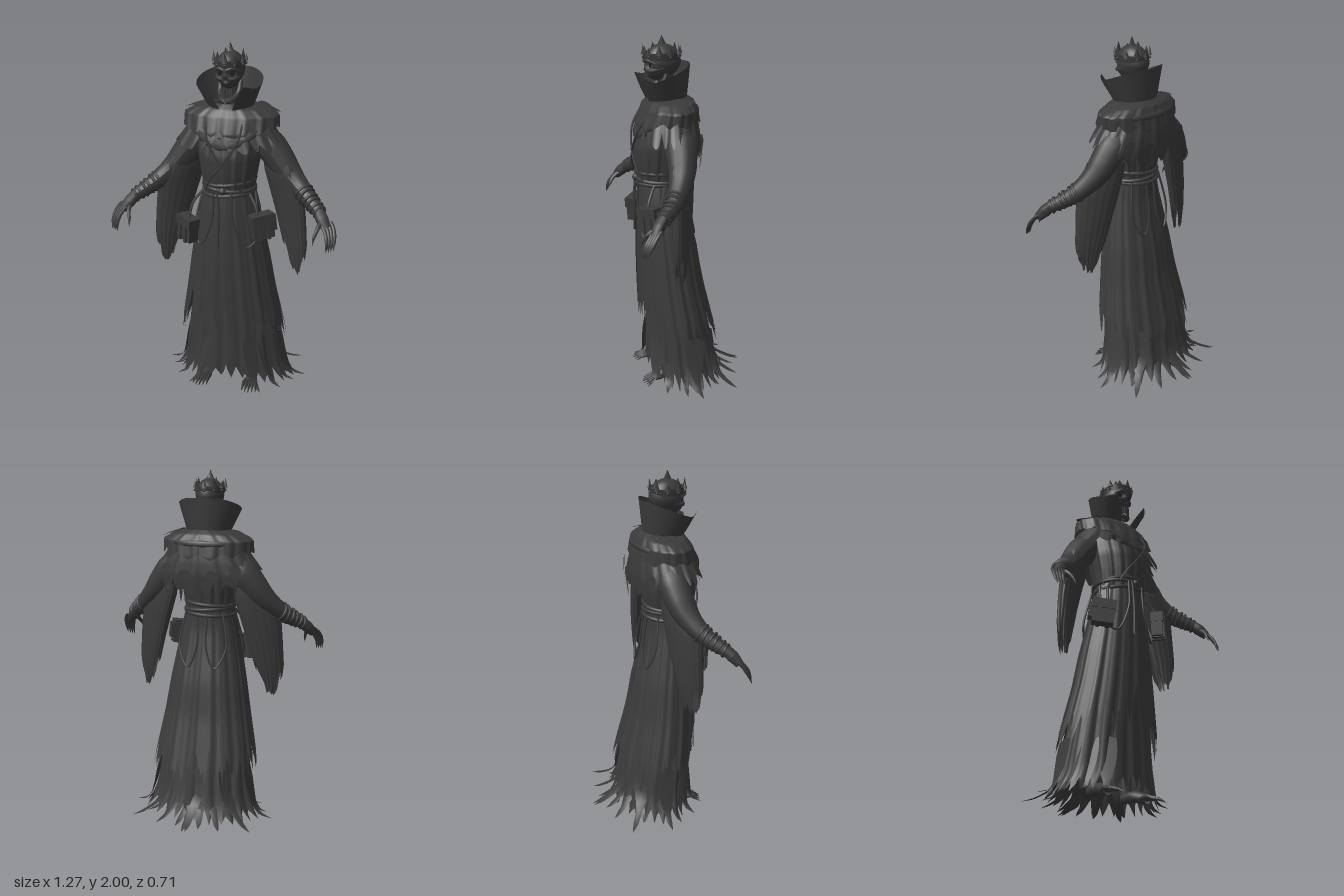
import * as THREE from 'three';

const V = (x, y, z) => new THREE.Vector3(x, y, z);
const lerp = THREE.MathUtils.lerp;
const curve = (pts, closed = false) => new THREE.CatmullRomCurve3(pts.map(p => V(...p)), closed);

export function createModel() {
  const root = new THREE.Group();
  const cloth = new THREE.MeshStandardMaterial({ color: 0x3a3a3a, side: THREE.DoubleSide });
  cloth.name = 'charcoal';
  const hollow = new THREE.MeshStandardMaterial({ color: 0x1c1c1c, side: THREE.DoubleSide });
  hollow.name = 'hollowBlack';
  let seed = 7;
  const rand = () => (seed = (seed * 16807) % 2147483647) / 2147483647;

  const add = (name, geo, mat = cloth) => {
    const m = new THREE.Mesh(geo, mat);
    m.name = name;
    root.add(m);
    return m;
  };

  // Triangulated grid of points: f(u, v) with u across and v down
  const grid = (nu, nv, f) => {
    const pos = [], idx = [];
    for (let i = 0; i <= nv; i++) for (let j = 0; j <= nu; j++) pos.push(...f(j / nu, i / nv, j));
    for (let i = 0; i < nv; i++) for (let j = 0; j < nu; j++) {
      const a = i * (nu + 1) + j, b = a + nu + 1;
      idx.push(a, b, a + 1, b, b + 1, a + 1);
    }
    const g = new THREE.BufferGeometry();
    g.setAttribute('position', new THREE.Float32BufferAttribute(pos, 3));
    g.setIndex(idx);
    g.computeVertexNormals();
    return g;
  };

  // Pleated garment; rows are [y, half width, front z, back z, centre x], top to bottom
  const garment = (name, rows, o) => {
    const { n = 120, a0 = -Math.PI, a1 = Math.PI, hem, jag = 0, tooth = 5, fold = 0, grow = 0, shear = 0 } = o;
    const depths = Array.from({ length: Math.ceil(n / tooth) + 1 }, () => 0.25 + 0.75 * rand());
    const row = y => {
      let k = 0;
      while (k < rows.length - 2 && y < rows[k + 1][0]) k++;
      const t = THREE.MathUtils.clamp((rows[k][0] - y) / (rows[k][0] - rows[k + 1][0]), 0, 1);
      return rows[k].map((a, i) => lerp(a, rows[k + 1][i], t));
    };
    return add(name, grid(n, 22, (u, v, j) => {
      const a = lerp(a0, a1, u), jj = j % n;
      const t = Math.abs(((jj / tooth) % 1) * 2 - 1);
      const bottom = hem(a) + jag * t * depths[Math.floor(jj / tooth)];
      const y = Math.max(0.004, lerp(rows[0][0], bottom, v));
      const [, rx, zf, zb, cx = 0] = row(y);
      const f = grow + fold * (0.25 + 0.75 * v) * (Math.sin(17 * a) + 0.5 * Math.sin(31 * a + 1));
      const x = (rx + f) * Math.sin(a);
      return [cx + x, y, (zf + zb) / 2 + ((zf - zb) / 2 + f) * Math.cos(a) + shear * x];
    }));
  };

  // Round limb whose radius follows a list
  const limb = (name, pts, radii, sides = 10, seg = 16) => {
    const c = curve(pts), g = new THREE.TubeGeometry(c, seg, 1, sides), p = g.attributes.position;
    for (let i = 0; i <= seg; i++) {
      const o = c.getPointAt(i / seg), t = (i / seg) * (radii.length - 1);
      const k = Math.min(Math.floor(t), radii.length - 2), r = lerp(radii[k], radii[k + 1], t - k);
      for (let j = 0; j <= sides; j++) {
        const q = i * (sides + 1) + j, w = V().fromBufferAttribute(p, q).sub(o).multiplyScalar(r).add(o);
        p.setXYZ(q, w.x, w.y, w.z);
      }
    }
    g.computeVertexNormals();
    return add(name, g);
  };
  const rope = (name, pts, r = 0.006, closed = false) =>
    add(name, new THREE.TubeGeometry(curve(pts, closed), 48, r, 6, closed));

  // Torn ribbon tapering to a point, with a raised ridge
  const shred = (name, pts, width, side) => {
    const c = curve(pts), s = V(...side).normalize();
    return add(name, grid(2, 8, (u, v) => {
      const p = c.getPoint(v), w = width * (1 - v) * (0.8 + 0.2 * Math.sin(v * 9));
      p.addScaledVector(s, (u - 0.5) * w);
      if (u === 0.5) p.y += 0.012 * (1 - v);
      return p.toArray();
    }));
  };

  // Under skirt reaching the ground, shorter over the feet
  garment('underSkirt', [[1.1, .14, .2, .02], [.6, .22, .215, -.07], [.3, .265, .215, -.14],
    [.12, .29, .215, -.175], [.04, .325, .215, -.2], [0, .36, .23, -.23]],
  { hem: a => .004 + .05 * Math.max(0, Math.cos(a)) ** 4, jag: .1, tooth: 4, fold: .008 });
  // Over robe with ragged hem
  const robe = [[1.24, .13, .24, 0], [1.1, .16, .255, -.005], [.95, .19, .262, -.035], [.8, .218, .266, -.07],
    [.6, .25, .262, -.1], [.4, .288, .255, -.15], [.23, .318, .25, -.195]];
  garment('overRobe', robe, { hem: a => .28 + .1 * Math.max(0, Math.cos(a)), jag: .26, tooth: 6, fold: .006 });
  for (const s of [-1, 1]) for (const [a, w, y] of [[.48, .2, .27], [1.3, .3, .28], [2.1, .25, .26], [2.75, .25, .23]])
    garment('robePanel', robe, { n: 24, a0: s * a - w, a1: s * a + w, hem: () => y, jag: .3, tooth: 8, fold: .004, grow: .007 });
  // Torn hem points spreading over the ground
  for (const s of [-1, 1]) for (const [x, z] of [[.43, -.02], [.36, -.24], [.19, -.29], [.07, -.3], [.01, -.355], [.3, -.15], [.38, .06], [.32, .17], [.22, .26]]) {
    const at = (k, y) => [s * x * k, y, .03 + (z - .03) * k];
    const k = lerp(.64, .44, THREE.MathUtils.clamp(-z / .3, 0, 1));
    shred('hemPoint', [at(k, .3), at(k + .1, .11), at(.82, .03), at(1, .006)], .13, [-(z - .03), 0, s * x]);
  }

  // Torso
  garment('torso', [[1.66, .09, .17, 0], [1.6, .15, .22, -.05], [1.5, .175, .255, -.05], [1.4, .172, .28, -.04],
    [1.3, .155, .275, -.02], [1.18, .135, .255, 0]], { hem: () => 1.18, fold: .004 });
  // Shoulder capes, longer and more torn behind
  const back = a => Math.max(0, -Math.cos(a));
  const capeRows = [[1.64, .16, .2, -.05], [1.56, .23, .235, -.07], [1.5, .272, .258, -.08], [1.43, .322, .278, -.085], [1.28, .325, .275, -.07]];
  garment('lowerCape', capeRows, { hem: a => 1.43 - .12 * back(a) ** 2, jag: .09, tooth: 5, fold: .005 });
  garment('upperCape', [[1.675, .1, .17, -.02], [1.65, .2, .2, -.055], [1.615, .262, .225, -.07], [1.53, .262, .26, -.085]],
    { hem: a => 1.54 - .03 * Math.cos(a) ** 2, jag: .04, tooth: 10, fold: .005 });
  for (const s of [-1, 1]) {
    shred('shoulderPoint', [[s * .14, 1.665, .06], [s * .22, 1.645, .06], [s * .27, 1.628, .06]], .2, [0, 0, 1]);
    shred('capeTatter', [[s * .08, 1.45, -.09], [s * .1, 1.38, -.085], [s * .11, 1.27, -.07]], .08, [1, 0, 0]);
    shred('capeTatter', [[s * .2, 1.48, -.06], [s * .21, 1.4, -.06], [s * .2, 1.3, -.05]], .08, [1, 0, .3 * s]);
  }
  // Draped scarf folds
  for (let k = 0; k < 4; k++) {
    const rx = .11 + .035 * k, pts = [];
    for (let i = 0; i < 12; i++) {
      const a = i * Math.PI / 6, c = Math.cos(a), f = Math.max(0, c);
      pts.push([rx * Math.sin(a), 1.65 - .016 * k - (.06 + .028 * k) * f * f, .08 + (c > 0 ? .11 + .022 * k : .095 + .017 * k) * c]);
    }
    rope('scarfFold', pts, .02, true);
  }

  // High open collar
  add('collar', grid(40, 8, (u, v) => {
    const a = lerp(-1, 1, u) * lerp(2.95, 2.5, v), c = Math.cos(a), s = Math.sin(a);
    const r = Math.pow(v, .9), zt = .12 - .157 * c, top = 1.85 - Math.max(0, zt + .02) * .38 + Math.max(0, zt - .19) * .7;
    return [s * lerp(.1, .18, r), lerp(1.61, top, v), lerp(.08 - .095 * c, zt, r)];
  }));

  // Skull: sockets pressed in, jaw narrowed
  const skull = new THREE.SphereGeometry(1, 40, 32), sp = skull.attributes.position;
  for (let i = 0; i < sp.count; i++) {
    let x = sp.getX(i) * .078, y = sp.getY(i) * .1, z = sp.getZ(i) * .1;
    if (y < 0) { x *= 1 + y * 2; z += -y * .2; }
    if (z > 0) {
      const d = Math.hypot(Math.abs(x) - .032, y + .012);
      z -= .03 * Math.max(0, 1 - d / .026);
      z -= .02 * Math.max(0, 1 - Math.hypot(x, y + .045) / .018);
    }
    sp.setXYZ(i, x, y, z);
  }
  skull.computeVertexNormals();
  add('skull', skull).position.set(0, 1.855, .11);
  for (const s of [-1, 1]) {
    const eye = add('eyeSocket', new THREE.CircleGeometry(.017, 14), hollow);
    eye.position.set(s * .032, 1.842, .188);
    eye.rotation.y = s * .25;
    limb('cheekbone', [[s * .015, 1.815, .205], [s * .045, 1.815, .185], [s * .066, 1.83, .12]], [.008, .013, .008], 8);
    limb('brow', [[s * .006, 1.862, .212], [s * .035, 1.87, .203], [s * .062, 1.855, .165]], [.008, .01, .007], 8);
    limb('jawBone', [[s * .056, 1.8, .1], [s * .05, 1.735, .13], [s * .022, 1.7, .19], [0, 1.697, .2]], [.012, .014, .014, .014], 8);
  }
  for (let i = -3; i <= 3; i++) for (const y of [1.752, 1.728])
    add('tooth', new THREE.BoxGeometry(.008, .02, .008)).position.set(i * .01, y, .205 - .0018 * i * i);
  limb('neck', [[0, 1.58, .07], [0, 1.68, .085], [0, 1.8, .1]], [.06, .045, .045], 14);

  // Crown band, points and top spike
  const band = add('crownBand', new THREE.CylinderGeometry(.085, .08, .04, 32, 1, true));
  band.scale.z = 1.22;
  band.position.set(0, 1.89, .115);
  for (let i = 0; i < 10; i++) {
    const a = i * Math.PI / 5, h = i % 2 ? .04 : .055;
    const p = add('crownPoint', new THREE.ConeGeometry(.022, h, 4));
    p.position.set(.084 * Math.sin(a), 1.9 + h / 2, .115 + .103 * Math.cos(a));
    p.rotation.y = a;
    p.scale.z = .5;
    const g = add('crownStud', new THREE.SphereGeometry(.008, 8, 6));
    g.position.set(.084 * Math.sin(a), 1.888, .115 + .102 * Math.cos(a));
  }
  add('topSpike', new THREE.ConeGeometry(.028, .06, 4)).position.set(0, 1.97, .115);

  for (const s of [-1, 1]) {
    // Sleeved arm
    limb('sleeveArm', [[s * .13, 1.52, .055], [s * .22, 1.43, .06], [s * .33, 1.295, .085], [s * .44, 1.195, .15], [s * .53, 1.135, .23]],
      [.07, .088, .078, .06, .046, .034], 14, 28);
    for (let k = 0; k < 6; k++) {
      const t = k / 5, w = add('forearmWrap', new THREE.TorusGeometry(lerp(.05, .033, t), .009, 6, 18));
      w.position.set(s * lerp(.42, .525, t), lerp(1.212, 1.138, t), lerp(.136, .225, t));
      w.lookAt(w.position.clone().add(V(s * .115, -.085 + .03 * (k % 2), .095)));
    }
    // Hanging torn sleeve, longest at its middle
    garment('hangingSleeve', [[1.36, .09, .13, .01, s * .26], [1.3, .1, .14, .01, s * .275], [1.2, .107, .14, .02, s * .312],
      [1.05, .09, .135, .035, s * .342], [.9, .073, .135, .055, s * .368], [.78, .047, .13, .075, s * .38], [.66, .012, .12, .1, s * .386]],
    { n: 48, hem: a => .67 + (s * Math.sin(a) < 0 ? .2 : .14) * Math.abs(Math.sin(a)) ** 1.5, jag: .12, tooth: 8, fold: .006, shear: s * .45 });

    // Clawed hand
    limb('palm', [[s * .52, 1.145, .225], [s * .55, 1.105, .26], [s * .578, 1.07, .285]], [.03, .034, .024], 10);
    for (let k = 0; k < 4; k++) {
      const o = k * .012;
      limb('finger', [[s * (.555 + o), 1.085 + o * .4, .29 - o], [s * (.575 + o), 1.055 + o * .6, .315 - o],
        [s * (.588 + o), 1.015 + o * .3, .337 - o * .7], [s * (.588 + o), .96 + .003 * k, .352 - o * .4]], [.011, .01, .011, .008, .001], 7);
    }
    limb('thumb', [[s * .54, 1.1, .265], [s * .532, 1.07, .31], [s * .52, 1.035, .335], [s * .515, .995, .352]], [.014, .012, .009, .001], 7);

    // Shin and bony foot
    limb('shin', [[s * .1, .6, .07], [s * .11, .3, .06], [s * .12, .06, .05]], [.05, .035, .03]);
    limb('foot', [[s * .12, .05, .03], [s * .125, .05, .1], [s * .14, .025, .19]], [.03, .032, .026]);
    for (let k = -2; k <= 2; k++)
      limb('toe', [[s * .14 + k * .014, .028, .17], [s * .145 + k * .018, .028, .225], [s * .15 + k * .021, .008, .28 - .008 * Math.abs(k)]], [.012, .011, .002], 6, 8);

    // Hip pouch with flap, strap and side pocket
    const pouch = new THREE.Group();
    pouch.name = 'hipPouch';
    const box = (name, w, h, d, x, y, z) => {
      const m = new THREE.Mesh(new THREE.BoxGeometry(w, h, d), cloth);
      m.name = name;
      m.position.set(x, y, z);
      pouch.add(m);
    };
    box('pouchBody', .12, .13, .06, 0, 0, 0);
    box('pouchFlap', .128, .055, .07, 0, .045, .002);
    box('pouchStrap', .018, .14, .074, .025, 0, .002);
    box('pouchStrap', .018, .14, .074, -.025, 0, .002);
    box('sidePocket', .045, .09, .05, s * .06, .01, -.01);
    pouch.position.set(s * .213, s > 0 ? 1.03 : .975, .232);
    pouch.rotation.set(0, s * .65, s * .12);
    root.add(pouch);
    rope('pouchCord', [[s * .13, 1.2, .19], [s * .18, 1.13, .23], [s * .2, 1.04, .25]], .008);

    // Crossed chest cords and hanging loops
    rope('chestCord', [[s * .1, 1.62, .2], [s * .085, 1.5, .268], [0, 1.37, .288], [-s * .07, 1.28, .275], [-s * .1, 1.22, .25]]);
    rope('frontLoop', [[s * .05, 1.22, .265], [s * .06, 1.05, .272], [s * .13, .9, .25], [s * .18, .95, .21], [s * .15, 1.2, .13]]);
    rope('backLoop', [[s * .03, 1.21, -.012], [s * .03, 1.0, -.04], [s * .08, .89, -.05], [s * .14, 1.0, -.015], [s * .11, 1.21, .02]]);
  }
  rope('hangingCord', [[-.03, 1.23, .27], [-.02, 1.1, .275], [-.025, .9, .278]]);

  // Belt coils and knot
  for (const [y, tilt] of [[1.25, .08], [1.22, -.06], [1.19, .06]]) {
    const b = add('beltCoil', new THREE.TorusGeometry(.142, .011, 8, 48));
    b.position.set(0, y, .125);
    b.rotation.set(Math.PI / 2, tilt, 0);
  }
  add('beltKnot', new THREE.SphereGeometry(.022, 12, 8)).position.set(0, 1.22, .268);

  return root;
}
